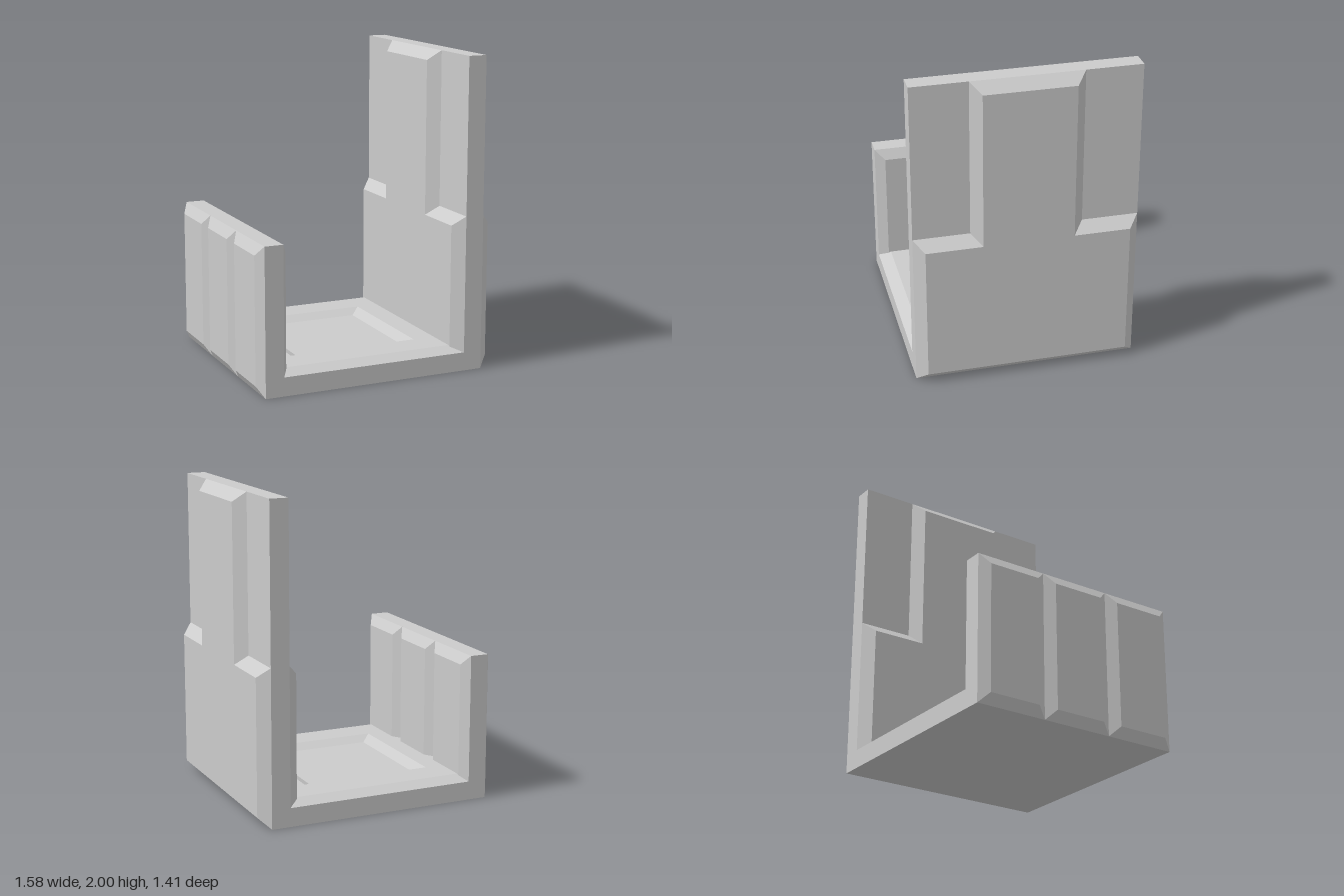
import * as THREE from 'three';

const material = new THREE.MeshStandardMaterial({ color: 0xcccccc, flatShading: true });
const D = 0.705; // half depth

// Skin between successive loops of [x, y, z] (counter-clockwise seen from +z), optionally capped
function loft(loops, cap) {
  const pos = [];
  const tri = (...corners) => corners.forEach((c) => pos.push(...c));
  for (let k = 0; k < loops.length - 1; k++) {
    const a = loops[k], b = loops[k + 1];
    a.forEach((p, i) => {
      const j = (i + 1) % a.length;
      tri(p, a[j], b[j]);
      tri(p, b[j], b[i]);
    });
  }
  if (cap) {
    const end = loops[loops.length - 1];
    const flat = end.map((p) => new THREE.Vector2(p[0], p[1]));
    THREE.ShapeUtils.triangulateShape(flat, []).forEach((f) => tri(...f.map((i) => end[i])));
  }
  const geo = new THREE.BufferGeometry();
  geo.setAttribute('position', new THREE.Float32BufferAttribute(pos, 3));
  geo.computeVertexNormals();
  return geo;
}

// Move every corner of a right-angled outline inwards by b
function inset(pts, b) {
  const n = pts.length;
  const inward = (p, q) => {
    const l = Math.hypot(q[0] - p[0], q[1] - p[1]);
    return [-(q[1] - p[1]) / l, (q[0] - p[0]) / l];
  };
  return pts.map((p, i) => {
    const u = inward(pts[(i + n - 1) % n], p), v = inward(p, pts[(i + 1) % n]);
    return [p[0] + b * (u[0] + v[0]), p[1] + b * (u[1] + v[1])];
  });
}

const at = (pts, z) => pts.map((p) => [p[0], p[1], z]);
const rect = (x0, x1, y0, y1) => [[x0, y0], [x1, y0], [x1, y1], [x0, y1]];

export function createModel() {
  const group = new THREE.Group();
  const add = (name, geo) => {
    const mesh = new THREE.Mesh(geo, material);
    mesh.name = name;
    group.add(mesh);
    return mesh;
  };

  // Bevelled panel raised from a wall face at x, pointing towards dir (+1 or -1)
  const wallPanel = (name, outline, x, dir, height) => {
    const geo = loft([at(outline, 0), at(inset(outline, 0.065), height)], true);
    const mesh = add(name, geo);
    mesh.rotation.y = (dir * Math.PI) / 2;
    mesh.position.x = x;
  };

  // U-shaped core: low wall, floor and tall wall
  const profile = [[-0.75, 0], [0.72, 0], [0.72, 2], [0.6, 2], [0.6, 0.12], [-0.63, 0.12], [-0.63, 0.94], [-0.75, 0.94]];
  const shape = new THREE.Shape(profile.map((p) => new THREE.Vector2(...p)));
  const core = new THREE.ExtrudeGeometry(shape, { depth: 2 * D, bevelEnabled: false });
  add('core', core.translate(0, 0, -D));

  // Raised floor with sloped front and back edges and a sunken square
  const hole = rect(-0.47, 0.385, -0.425, 0.425);
  const floor = add('floorPanel', loft([
    at(rect(-0.63, 0.6, -D, D), 0),
    at(rect(-0.63, 0.6, -0.625, 0.625), 0.035),
    at(hole, 0.035),
    at(inset(hole, 0.072), 0.001),
  ], true));
  floor.rotation.x = -Math.PI / 2;
  floor.position.y = 0.12;

  // Panels on both faces of each wall; the inner ones start below the floor surface
  for (const inner of [false, true]) {
    const y0 = inner ? 0.05 : 0;
    const side = inner ? 'Inner' : 'Outer';

    // Tall wall: stepped panel, wide below and narrow above
    const step = [[-D, y0], [D, y0], [D, 1], [0.35, 1], [0.35, 2], [-0.35, 2], [-0.35, 1], [-D, 1]];
    wallPanel('tallWall' + side + 'Panel', step, inner ? 0.6 : 0.72, inner ? -1 : 1, 0.07);

    // Low wall: three upright panels side by side
    for (const c of [-0.47, 0, 0.47]) {
      wallPanel('lowWall' + side + 'Panel', rect(c - 0.235, c + 0.235, y0, 0.94),
        inner ? -0.63 : -0.75, inner ? 1 : -1, 0.04);
    }
  }
  return group;
}
